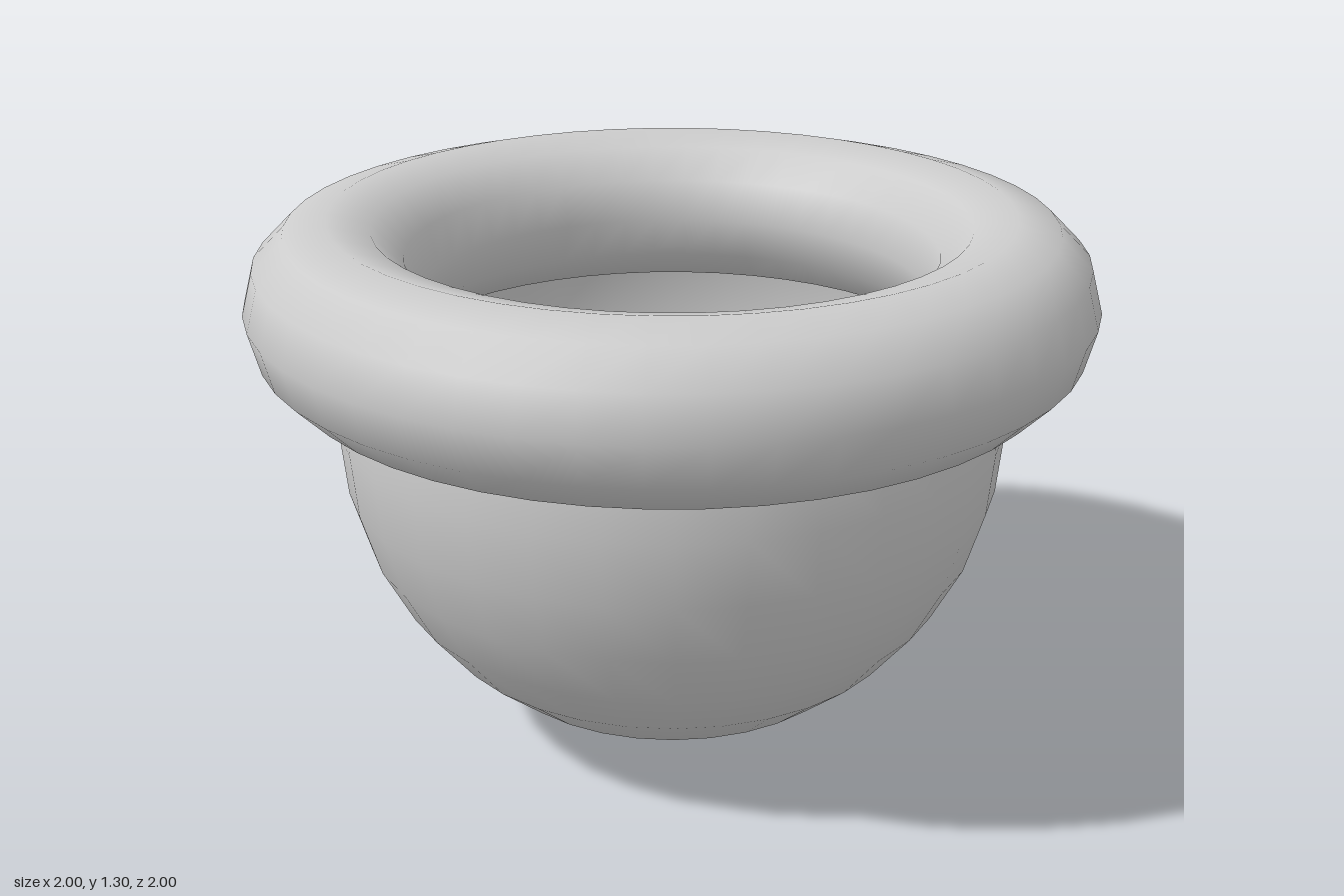
import * as THREE from 'three';

export function createModel() {
  const group = new THREE.Group();

  // Open round bowl; its upper edge ends hidden inside the rim
  const bowl = new THREE.Mesh(
    new THREE.SphereGeometry(0.8, 32, 10, 0, Math.PI * 2, Math.PI * 3 / 8, Math.PI * 5 / 8),
    new THREE.MeshStandardMaterial({ color: 0xcccccc, side: THREE.DoubleSide })
  );
  bowl.name = 'bowl';
  bowl.position.y = 0.8;
  group.add(bowl);

  // Thick rounded rim
  const rim = new THREE.Mesh(
    new THREE.TorusGeometry(0.8, 0.2, 12, 48),
    new THREE.MeshStandardMaterial({ color: 0xcccccc })
  );
  rim.name = 'rim';
  rim.rotation.x = Math.PI / 2;
  rim.position.y = 1.1;
  group.add(rim);

  return group;
}
